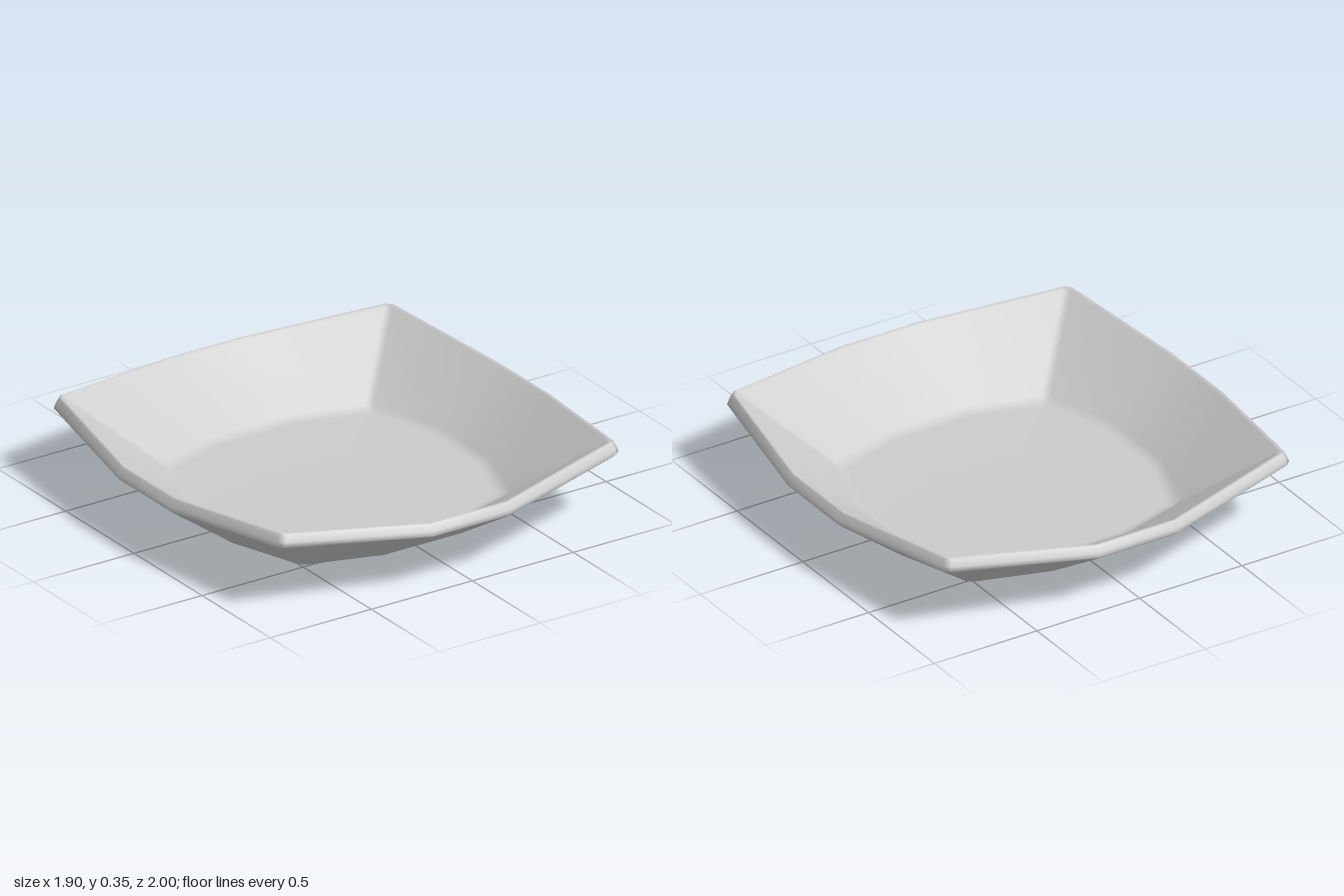
import * as THREE from 'three';

// One 16-point outline: each side has a short middle edge, each corner a small chamfer.
// mx, mz: reach of the side middles; c: corner reach; w: half length of the middle edge;
// e: chamfer; ym, yc: heights at side middles and corners; dx, dz: shift of the outline
function outline({ mx, mz, c, w = 0.19, e = 0.012, ym, yc = ym, dx = 0, dz = 0 }) {
  const quarter = [[mx, w, ym], [c + e, c - e, yc], [c - e, c + e, yc], [w, mz, ym]];
  const points = [];
  [[1, 1], [-1, 1], [-1, -1], [1, -1]].forEach(([sx, sz], q) => {
    const part = q % 2 ? [...quarter].reverse() : quarter;
    for (const [x, z, y] of part) points.push([sx * x + dx, y, sz * z + dz]);
  });
  return points;
}

// Closed skin through successive outlines
function skin(rings) {
  const n = rings[0].length;
  const index = [];
  for (let l = 0; l < rings.length - 1; l++) {
    for (let i = 0; i < n; i++) {
      const j = (i + 1) % n;
      const a = l * n + i, b = (l + 1) * n + i, c = (l + 1) * n + j, d = l * n + j;
      index.push(a, b, c, a, c, d);
    }
  }
  const geometry = new THREE.BufferGeometry();
  geometry.setAttribute('position', new THREE.Float32BufferAttribute(rings.flat(2), 3));
  geometry.setIndex(index);
  geometry.computeVertexNormals();
  return geometry;
}

export function createModel() {
  const group = new THREE.Group();
  group.name = 'dish';
  const base = { dx: 0.008, dz: -0.012 };

  const levels = [
    // underside, from its centre to the rounded foot edge
    { mx: 0, mz: 0, c: 0, w: 0, e: 0, ym: 0, ...base },
    { mx: 0.57, mz: 0.56, c: 0.46, ym: 0, ...base },
    { mx: 0.605, mz: 0.595, c: 0.495, ym: 0.003, ...base },
    { mx: 0.64, mz: 0.635, c: 0.525, ym: 0.02, yc: 0.022, ...base },
    // outer wall and rounded rim
    { mx: 0.937, mz: 0.987, c: 0.82, ym: 0.24, yc: 0.287 },
    { mx: 0.95, mz: 1, c: 0.832, ym: 0.252, yc: 0.302 },
    { mx: 0.944, mz: 0.994, c: 0.828, ym: 0.268, yc: 0.32 },
    { mx: 0.928, mz: 0.98, c: 0.816, ym: 0.296, yc: 0.348 },
    { mx: 0.92, mz: 0.972, c: 0.809, ym: 0.301, yc: 0.353 },
    { mx: 0.908, mz: 0.96, c: 0.799, ym: 0.294, yc: 0.345 },
    // inner wall, softened crease and floor
    { mx: 0.63, mz: 0.62, c: 0.515, ym: 0.076, yc: 0.078, ...base },
    { mx: 0.605, mz: 0.592, c: 0.492, ym: 0.062, ...base },
    { mx: 0.575, mz: 0.565, c: 0.465, ym: 0.058, ...base },
    { mx: 0, mz: 0, c: 0, w: 0, e: 0, ym: 0.058, ...base },
  ];

  const bowl = new THREE.Mesh(
    skin(levels.map(outline)),
    new THREE.MeshStandardMaterial({ color: 0xcccccc })
  );
  bowl.name = 'bowl';
  group.add(bowl);
  return group;
}
